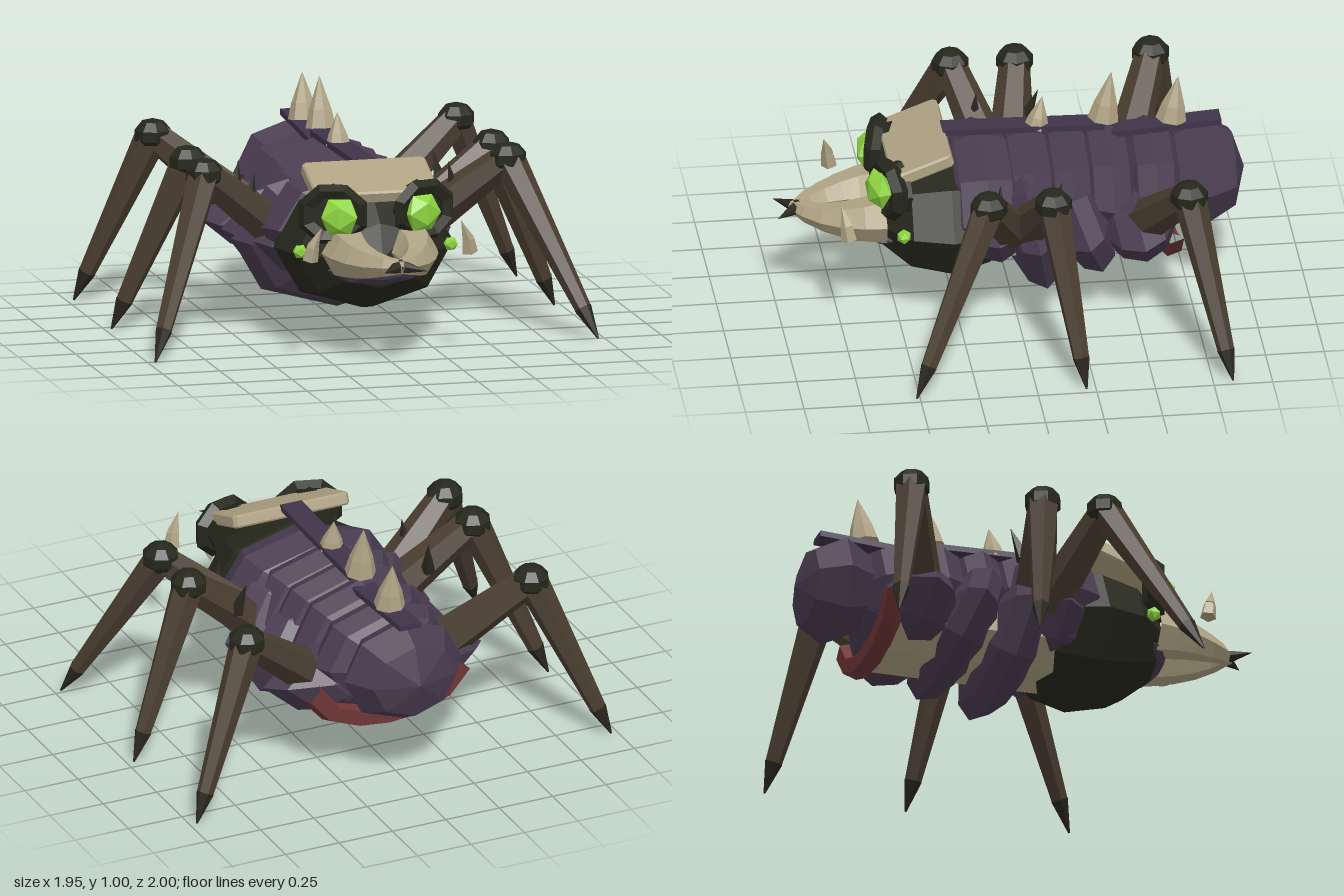
import * as THREE from 'three';

const mat = (name, color) => new THREE.MeshStandardMaterial({ name, color, flatShading: true });

export function createModel() {
  const purple = mat('purple shell', 0x483b4f);
  const strip = mat('dark purple', 0x3f3349);
  const brown = mat('leg brown', 0x4b3e31);
  const dark = mat('dark olive', 0x25271b);
  const claw = mat('claw', 0x2a271f);
  const bone = mat('bone', 0xaea283);
  const green = mat('eye green', 0x8ed63f);
  const red = mat('red band', 0x6e3535);
  const root = new THREE.Group();
  root.name = 'insect';

  const add = (parent, name, geo, material, p = [0, 0, 0], r = [0, 0, 0]) => {
    const m = new THREE.Mesh(geo, material);
    m.name = name;
    m.position.set(...p);
    m.rotation.set(...r);
    parent.add(m);
    return m;
  };

  // Low-poly ellipsoid with its poles along z
  const blob = (parent, name, material, p, s, tilt = 0, rings = 6) => {
    const g = new THREE.SphereGeometry(1, 8, rings).rotateX(Math.PI / 2);
    g.scale(...s);
    return add(parent, name, g, material, p, [tilt, 0, 0]);
  };

  // Tapered rod from point a to point b
  const limb = (parent, name, material, a, b, r0, r1, sides = 6) => {
    const A = new THREE.Vector3(...a), B = new THREE.Vector3(...b);
    const d = B.clone().sub(A);
    const m = add(parent, name, new THREE.CylinderGeometry(r1, r0, d.length(), sides), material);
    m.position.copy(A).add(B).multiplyScalar(0.5);
    m.quaternion.setFromUnitVectors(new THREE.Vector3(0, 1, 0), d.normalize());
    return m;
  };

  // Abdomen: tail and upper segments [z, y, rx, ry, rz]
  blob(root, 'tail', purple, [0, 0.515, -0.825], [0.275, 0.23, 0.175], 0, 4);
  [[-0.6, 0.49, 0.315, 0.25, 0.155], [-0.41, 0.49, 0.325, 0.26, 0.155], [-0.24, 0.49, 0.345, 0.26, 0.15],
    [-0.07, 0.48, 0.37, 0.27, 0.16], [0.13, 0.48, 0.415, 0.265, 0.22],
  ].forEach(([z, y, ...s]) => blob(root, 'upperSegment', purple, [0, y, z], s));

  // Wide lower plates, tilted so that the undersides sweep back
  [[-0.52, 0.395, 0.51, 0.18, 0.19, 0.2], [-0.29, 0.39, 0.47, 0.26, 0.14, 0.38],
    [-0.075, 0.39, 0.48, 0.335, 0.14, 0.2], [0.09, 0.41, 0.43, 0.19, 0.16, 0.15],
  ].forEach(([z, y, rx, ry, rz, t]) => blob(root, 'lowerPlate', purple, [0, y, z], [rx, ry, rz], t));

  // Pale belly and red band beneath the tail
  const belly = new THREE.CylinderGeometry(0.2, 0.2, 0.76, 8).rotateX(Math.PI / 2).rotateZ(Math.PI / 8);
  belly.scale(1.5, 0.74, 1);
  add(root, 'belly', belly, bone, [0, 0.35, -0.24]);
  const bandPath = new THREE.CatmullRomCurve3([[-0.35, 0.4], [-0.25, 0.29], [0, 0.235], [0.25, 0.29], [0.35, 0.4]]
    .map(([x, y]) => new THREE.Vector3(x, y, -0.655)));
  add(root, 'bellyBand', new THREE.TubeGeometry(bandPath, 6, 0.055, 5), red);

  // Dorsal strips and spikes
  add(root, 'frontStrip', new THREE.BoxGeometry(0.1, 0.025, 0.69), strip, [0, 0.768, -0.055], [-0.02, 0, 0]);
  add(root, 'rearStrip', new THREE.BoxGeometry(0.1, 0.025, 0.47), strip, [0, 0.737, -0.665], [0.07, 0, 0]);
  [[-0.115, 0.76, -0.14, 0.9, 0.055], [-0.4, 0.78, -0.435, 1, 0.068], [-0.69, 0.76, -0.72, 0.96, 0.068]]
    .forEach(([z0, y0, z1, y1, r]) => {
      const mz = z0 + (z1 - z0) * 0.35, my = y0 + (y1 - y0) * 0.35;
      limb(root, 'spikeBase', bone, [0, y0, z0], [0, my, mz], r, r * 0.75, 7);
      limb(root, 'spikeTip', bone, [0, my, mz], [0, y1, z1], r * 0.75, 0, 7);
    });

  // Head, lip and brow plate
  blob(root, 'head', dark, [0, 0.42, 0.28], [0.39, 0.28, 0.335]);
  blob(root, 'lip', purple, [0, 0.36, 0.53], [0.22, 0.075, 0.095]);
  const brow = new THREE.Shape();
  const w = 0.27, d = 0.135, c = 0.015;
  [[-w + c, -d], [w - c, -d], [w, -d + c], [w, d - c], [w - c, d], [-w + c, d], [-w, d - c], [-w, -d + c]]
    .forEach(([x, y], i) => (i ? brow.lineTo(x, y) : brow.moveTo(x, y)));
  const browGeo = new THREE.ExtrudeGeometry(brow, { depth: 0.04, bevelSize: 0.008, bevelOffset: -0.008,
    bevelThickness: 0.008, bevelSegments: 1 });
  browGeo.translate(0, 0, -0.02).rotateX(-Math.PI / 2);
  add(root, 'browPlate', browGeo, bone, [0, 0.71, 0.4], [0.36, 0, 0]);

  // Everything paired is built on +x, then mirrored
  const side = new THREE.Group();
  side.name = 'leftSide';

  // Legs
  const legs = [
    { hip: [0.3, 0.43, 0.03], knee: [0.665, 0.73, 0.17], foot: [0.97, 0, 0.515], thorn: 0.09 },
    { hip: [0.3, 0.43, -0.03], knee: [0.665, 0.73, -0.105], foot: [0.97, 0, -0.21], thorn: -0.175 },
    { hip: [0.3, 0.43, -0.53], knee: [0.665, 0.73, -0.685], foot: [0.97, 0, -0.835] },
  ];
  for (const { hip, knee, foot, thorn } of legs) {
    const ankle = knee.map((v, i) => v + (foot[i] - v) * 0.83);
    const leg = new THREE.Group();
    leg.name = 'leg';
    side.add(leg);
    limb(leg, 'thigh', brown, hip, knee, 0.095, 0.065);
    limb(leg, 'shin', brown, knee, ankle, 0.072, 0.036);
    limb(leg, 'footClaw', claw, ankle, foot, 0.038, 0.004);
    const k = new THREE.SphereGeometry(0.083, 8, 5);
    k.scale(1, 0.85, 1);
    add(leg, 'kneeCap', k, dark, knee);
    if (thorn !== undefined) {
      const base = [0.45, 0.56, thorn * 0.5 + (hip[2] + knee[2]) * 0.25];
      limb(leg, 'thorn', claw, base, [0.425, 0.71, thorn], 0.035, 0, 5);
    }
  }

  // Large eye with its socket, small eye
  const eye = new THREE.Group();
  eye.name = 'eye';
  eye.position.set(0.2, 0.605, 0.54);
  eye.rotation.y = 0.3;
  side.add(eye);
  const socket = new THREE.TorusGeometry(0.112, 0.038, 5, 8).rotateZ(Math.PI / 8);
  socket.scale(1.05, 0.92, 1);
  add(eye, 'eyeSocket', socket, dark);
  add(eye, 'socketBack', new THREE.CylinderGeometry(0.1, 0.12, 0.06, 8).rotateX(Math.PI / 2), dark, [0, 0, -0.03]);
  const gem = new THREE.IcosahedronGeometry(0.089, 0);
  gem.scale(1, 1, 0.6);
  add(eye, 'eyeball', gem, green, [-0.03, -0.005, 0.035]);
  add(side, 'smallEye', new THREE.IcosahedronGeometry(0.032, 0), green, [0.33, 0.44, 0.49]);

  // Jaw: a tube tapered toward its crossing claw
  const path = new THREE.CatmullRomCurve3([[0.14, 0.44, 0.55], [0.14, 0.435, 0.65], [0.105, 0.43, 0.77],
    [0.045, 0.435, 0.87], [-0.015, 0.44, 0.925]].map((p) => new THREE.Vector3(...p)));
  const n = 5, sides = 6;
  const jaw = new THREE.TubeGeometry(path, n, 1, sides);
  const pos = jaw.attributes.position, v = new THREE.Vector3();
  for (let i = 0; i < pos.count; i++) {
    const t = Math.floor(i / (sides + 1)) / n, p = path.getPointAt(t);
    v.fromBufferAttribute(pos, i).sub(p).multiplyScalar(0.112 - 0.084 * t).add(p);
    pos.setXYZ(i, v.x, v.y, v.z);
  }
  add(side, 'jaw', jaw, bone);
  limb(side, 'jawClaw', claw, [0, 0.44, 0.9], [-0.095, 0.435, 1], 0.034, 0, 6);

  // Cheek spike set out ahead of the face
  limb(side, 'cheekSpike', bone, [0.35, 0.45, 0.725], [0.34, 0.51, 0.735], 0.036, 0.028, 5);
  limb(side, 'cheekSpikeTip', bone, [0.34, 0.51, 0.735], [0.305, 0.595, 0.755], 0.028, 0, 5);

  const other = side.clone();
  other.name = 'rightSide';
  other.scale.x = -1;
  root.add(side, other);
  return root;
}
